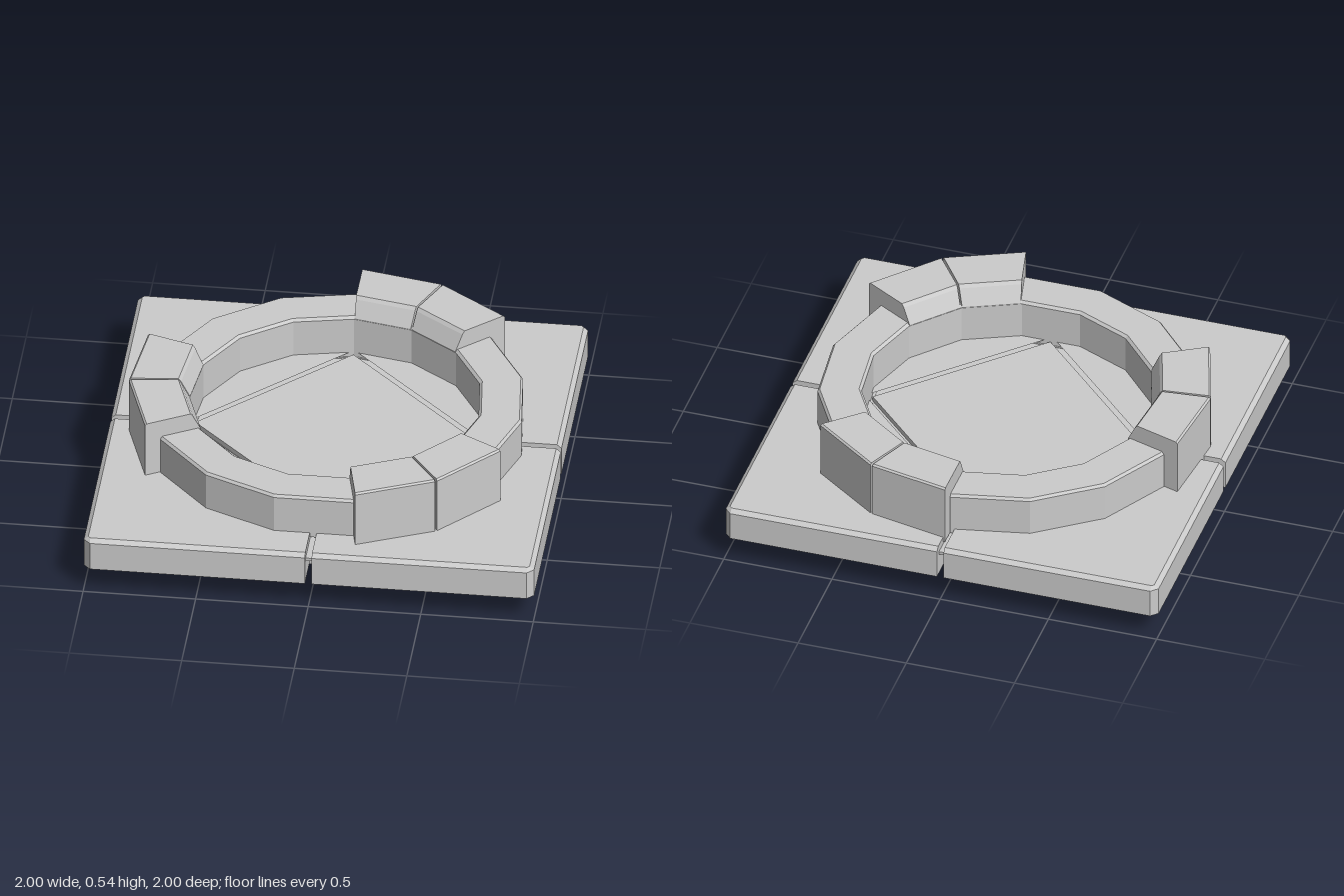
import * as THREE from 'three';

const grey = new THREE.MeshStandardMaterial({ color: 0xcccccc, flatShading: true, side: THREE.DoubleSide });
const STEP = (24 * Math.PI) / 180; // the rings are fifteen-sided

function addMesh(parent, name, geometry, x = 0, y = 0, z = 0) {
  const mesh = new THREE.Mesh(geometry, grey);
  mesh.name = name;
  mesh.position.set(x, y, z);
  parent.add(mesh);
  return mesh;
}

function fromPoints(points) {
  const g = new THREE.BufferGeometry().setFromPoints(points);
  g.computeVertexNormals();
  return g;
}

// Straight ring segment: a convex [radius, height] profile between two angles
function segment(profile, a0, a1) {
  const at = ([r, y], a) => new THREE.Vector3(r * Math.cos(a), y, -r * Math.sin(a));
  const p = profile.map((v) => at(v, a0));
  const q = profile.map((v) => at(v, a1));
  const out = [];
  for (let i = 0; i < p.length; i++) {
    const j = (i + 1) % p.length;
    out.push(p[i], q[i], q[j], p[i], q[j], p[j]);
    if (i > 0 && j > 0) out.push(p[0], p[i], p[j], q[0], q[j], q[i]);
  }
  return fromPoints(out);
}

// One quarter of the base: a shell open below, chamfered along its outer edges
function quarterShell() {
  const outline = [[0.645, 0.015], [1, 0.015], [1, 0.97], [0.97, 1], [0.015, 1], [0.015, 0.645]];
  const inset = (v) => Math.min(v, 0.98);
  const loops = [
    outline.map(([x, z]) => new THREE.Vector3(x, 0.12, z)),
    outline.map(([x, z]) => new THREE.Vector3(x, 0.255, z)),
    outline.map(([x, z]) => new THREE.Vector3(inset(x), 0.272, inset(z))),
  ];
  const out = [];
  for (let k = 0; k < 2; k++) {
    for (let i = 0; i < outline.length - 1; i++) {
      const [p0, q0, p1, q1] = [loops[k][i], loops[k][i + 1], loops[k + 1][i], loops[k + 1][i + 1]];
      out.push(p0, p1, q1, p0, q1, q0);
    }
  }
  const top = loops[2];
  for (let i = 1; i < top.length - 1; i++) out.push(top[0], top[i + 1], top[i]);
  return fromPoints(out);
}

export function createModel() {
  const model = new THREE.Group();
  model.name = 'ringBase';

  // Four base quarters with inner ribs and the strips that bridge the gaps
  const shell = quarterShell();
  const rib = new THREE.BoxGeometry(0.735, 0.11, 0.01);
  const strip = new THREE.BoxGeometry(0.36, 0.015, 0.032);
  for (let i = 0; i < 4; i++) {
    const quarter = new THREE.Group();
    quarter.name = 'baseQuarter';
    quarter.rotation.y = (i * Math.PI) / 2;
    addMesh(quarter, 'slab', shell);
    addMesh(quarter, 'ribFront', rib, 0.383, 0.205, 0.745);
    addMesh(quarter, 'ribSide', rib, 0.745, 0.205, 0.383).rotation.y = Math.PI / 2;
    addMesh(quarter, 'gapStrip', strip, 0.79, 0.228, 0);
    model.add(quarter);
  }

  // Floor disc with a raised diamond panel
  addMesh(model, 'floor', new THREE.CylinderGeometry(0.65, 0.65, 0.015, 15), 0, 0.24, 0);
  addMesh(model, 'diamondPanel', new THREE.CylinderGeometry(0.625, 0.625, 0.024, 4), 0, 0.26, 0);

  // Upper crown: low ring segments and three pairs of raised blocks
  const low = [[0.645, 0.25], [0.84, 0.25], [0.84, 0.445], [0.83, 0.457], [0.657, 0.457], [0.645, 0.445]];
  const block = [[0.645, 0.25], [0.912, 0.25], [0.912, 0.532], [0.904, 0.54], [0.695, 0.54], [0.683, 0.525], [0.645, 0.45]];
  // Lower collar: thin wall, with a shallow notch every fifth side
  const collar = [[0.637, 0], [0.672, 0], [0.672, 0.25], [0.637, 0.25]];
  const notched = [[0.632, 0.03], [0.66, 0.03], [0.66, 0.25], [0.632, 0.25]];

  const crown = new THREE.Group();
  crown.name = 'crown';
  const lower = new THREE.Group();
  lower.name = 'lowerCollar';
  model.add(crown, lower);
  for (let k = 0; k < 15; k++) {
    const a = Math.PI / 2 + k * STEP;
    const b = a + STEP;
    if (k % 5 >= 3) addMesh(crown, 'raisedBlock', segment(block, a + 0.006, b - 0.006));
    addMesh(crown, 'ringSegment', segment(low, a, b));
    const isNotch = k % 5 === 1;
    addMesh(lower, isNotch ? 'notchedSide' : 'collarSide', segment(isNotch ? notched : collar, a, b));
  }
  return model;
}
